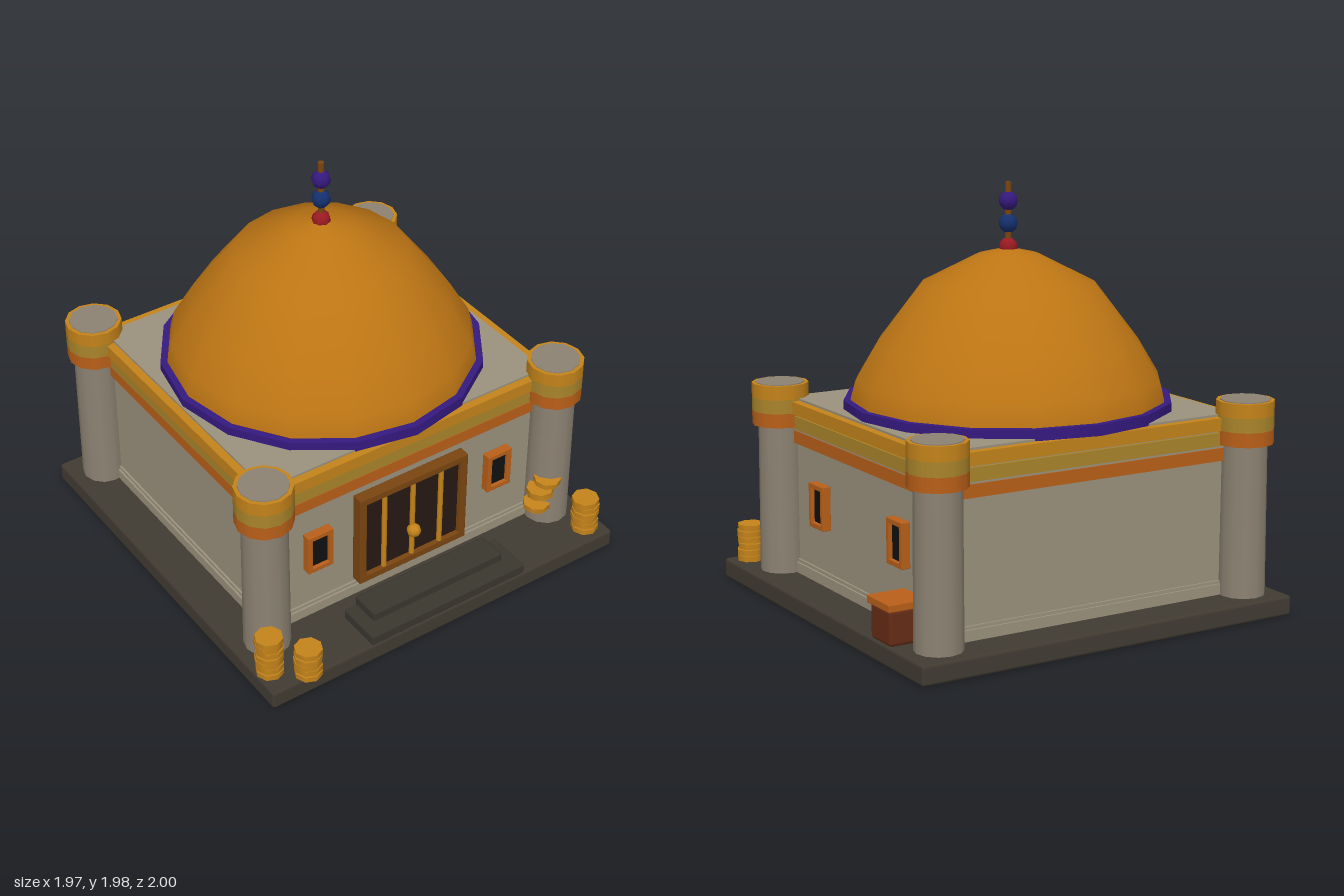
import * as THREE from 'three';
import { RoundedBoxGeometry } from 'three/addons/geometries/RoundedBoxGeometry.js';

const mat = (color) => new THREE.MeshStandardMaterial({ color });
const M = {
  stone: mat(0x9a917d), pillar: mat(0x8c8272), base: mat(0x413b32), step: mat(0x3a372f),
  gold: mat(0xc4831a), olive: mat(0xa9842a), orange: mat(0xb95f18), dome: mat(0xbd7514),
  purple: mat(0x35197f), blue: mat(0x15306f), red: mat(0x9a1a22), wood: mat(0x7a4510),
  dark: mat(0x261812), black: mat(0x101010), chest: mat(0x662c16),
};
const CX = -0.01, CZ = -0.095; // middle of the building
const HX = 0.77, HZ = 0.7; // half size of the walls
const FLOOR = 0.095;

export function createModel() {
  const root = new THREE.Group();
  root.name = 'domedTreasury';

  const add = (name, geo, material, x, y, z, parent = root) => {
    const mesh = new THREE.Mesh(geo, material);
    mesh.name = name;
    mesh.position.set(x, y, z);
    parent.add(mesh);
    return mesh;
  };
  const group = (name, x = 0, y = 0, z = 0) => {
    const g = new THREE.Group();
    g.name = name;
    g.position.set(x, y, z);
    root.add(g);
    return g;
  };
  const box = (w, h, d) => new RoundedBoxGeometry(w, h, d, 1, Math.min(w, h, d) * 0.12);
  // Centred slab around the walls, from y0 to y1, standing out by a margin
  const course = (name, material, y0, y1, out) => add(name,
    new THREE.BoxGeometry(2 * (HX + out), y1 - y0, 2 * (HZ + out)), material, CX, (y0 + y1) / 2, CZ);

  // Ground slab and steps
  add('groundSlab', new RoundedBoxGeometry(1.96, FLOOR, 1.96, 1, 0.015), M.base, -0.01, FLOOR / 2, -0.02);
  add('lowerStep', box(0.875, 0.05, 0.225), M.step, CX, 0.117, 0.843);
  add('upperStep', box(0.74, 0.09, 0.15), M.step, CX, 0.142, 0.795);

  // Walls, plinth and stepped cornice
  course('walls', M.stone, 0.09, 0.942, 0);
  course('plinthLower', M.stone, 0.09, 0.145, 0.02);
  course('plinthUpper', M.stone, 0.145, 0.16, 0.01);
  course('corniceOrange', M.orange, 0.73, 0.79, 0.022);
  course('corniceCore', M.stone, 0.79, 0.925, 0.018);
  course('corniceOlive', M.olive, 0.803, 0.865, 0.032);
  course('corniceGold', M.gold, 0.875, 0.935, 0.044);
  course('roof', M.stone, 0.93, 0.945, 0.004);

  // Corner pillars with three-banded caps
  for (const sx of [-1, 1]) for (const sz of [-1, 1]) {
    const p = group('cornerPillar', CX + sx * 0.81, 0, CZ + sz * 0.745);
    add('shaft', new THREE.CylinderGeometry(0.105, 0.11, 0.915, 12), M.pillar, 0, 0.55, 0, p);
    [[M.orange, 0.81], [M.olive, 0.877], [M.gold, 0.943]].forEach(([m, y]) =>
      add('capBand', new THREE.CylinderGeometry(0.135, 0.135, 0.067, 12), m, 0, y + 0.0335, 0, p));
    add('capTop', new THREE.CylinderGeometry(0.116, 0.116, 0.01, 12), M.pillar, 0, 1.009, 0, p);
  }

  // Dome and its collar
  const profile = [[0.74, 0.94], [0.732, 1.0], [0.71, 1.08], [0.615, 1.24], [0.405, 1.515], [0.14, 1.65], [0, 1.682]];
  add('dome', new THREE.LatheGeometry(profile.map(([r, y]) => new THREE.Vector2(r, y)), 16), M.dome, CX, 0, CZ);
  add('domeCollar', new THREE.CylinderGeometry(0.767, 0.767, 0.05, 16), M.purple, CX, 0.961, CZ);

  // Finial
  const finial = group('finial', CX, 0, CZ);
  add('rod', new THREE.CylinderGeometry(0.015, 0.015, 0.32, 8), M.wood, 0, 1.82, 0, finial);
  [[M.red, 1.68], [M.blue, 1.79], [M.purple, 1.893]].forEach(([m, y]) =>
    add('bead', new THREE.SphereGeometry(0.045, 8, 6), m, 0, y, 0, finial));

  // Panel with a four-sided raised frame, facing +z
  const framed = (g, w, h, t, frameMat, panelMat, depth) => {
    add('panel', new THREE.BoxGeometry(w - t, h - t, depth * 0.6), panelMat, 0, 0, depth * 0.3, g);
    for (const s of [-1, 1]) {
      add('frameSide', box(t, h, depth), frameMat, s * (w - t) / 2, 0, depth / 2, g);
      add('frameRail', box(w, t, depth), frameMat, 0, s * (h - t) / 2, depth / 2, g);
    }
  };

  // Door with bars and a knob
  const door = group('door', CX, 0.43, CZ + HZ);
  framed(door, 0.61, 0.5, 0.038, M.wood, M.dark, 0.06);
  for (const x of [-0.16, 0, 0.16])
    add('doorBar', new THREE.CylinderGeometry(0.013, 0.013, 0.455, 8), M.gold, x, -0.01, 0.045, door);
  add('doorKnob', new THREE.SphereGeometry(0.035, 8, 6), M.gold, 0, -0.065, 0.06, door);

  // Windows on the front and left walls
  for (const s of [-1, 1]) {
    framed(group('frontWindow', CX + s * 0.51, 0.475, CZ + HZ), 0.138, 0.21, 0.024, M.orange, M.black, 0.045);
    const side = group('sideWindow', CX + HX, 0.475, -0.085 + s * 0.375);
    side.rotation.y = Math.PI / 2;
    framed(side, 0.138, 0.21, 0.024, M.orange, M.black, 0.045);
  }

  // Chest
  const chest = group('chest', 0.885, FLOOR, -0.63);
  add('chestBody', box(0.17, 0.165, 0.18), M.chest, 0, 0.082, 0, chest);
  add('chestLid', box(0.19, 0.035, 0.2), M.orange, 0, 0.177, 0, chest);

  // Coin stacks, each coin slightly shifted
  const coin = new THREE.CylinderGeometry(0.066, 0.066, 0.027, 8);
  for (const [x, z, n] of [[-0.922, 0.825, 7], [-0.785, 0.932, 5], [0.872, 0.862, 6]]) {
    const stack = group('coinStack', x, FLOOR, z);
    for (let i = 0; i < n; i++)
      add('coin', coin, M.gold, 0.003 * Math.sin(i * 2), 0.016 + i * 0.031, 0.003 * Math.cos(i * 2), stack);
  }

  // Loose coins against the front pillar
  [[0.74, 0.36, 0.72], [0.7, 0.315, 0.72], [0.73, 0.265, 0.69], [0.7, 0.215, 0.7]].forEach(([x, y, z], i) => {
    const c = add('looseCoin', coin, M.gold, x, y, z);
    c.rotation.set(0.08 * Math.cos(i * 2), i, 0.08 * Math.sin(i * 2));
  });

  return root;
}
